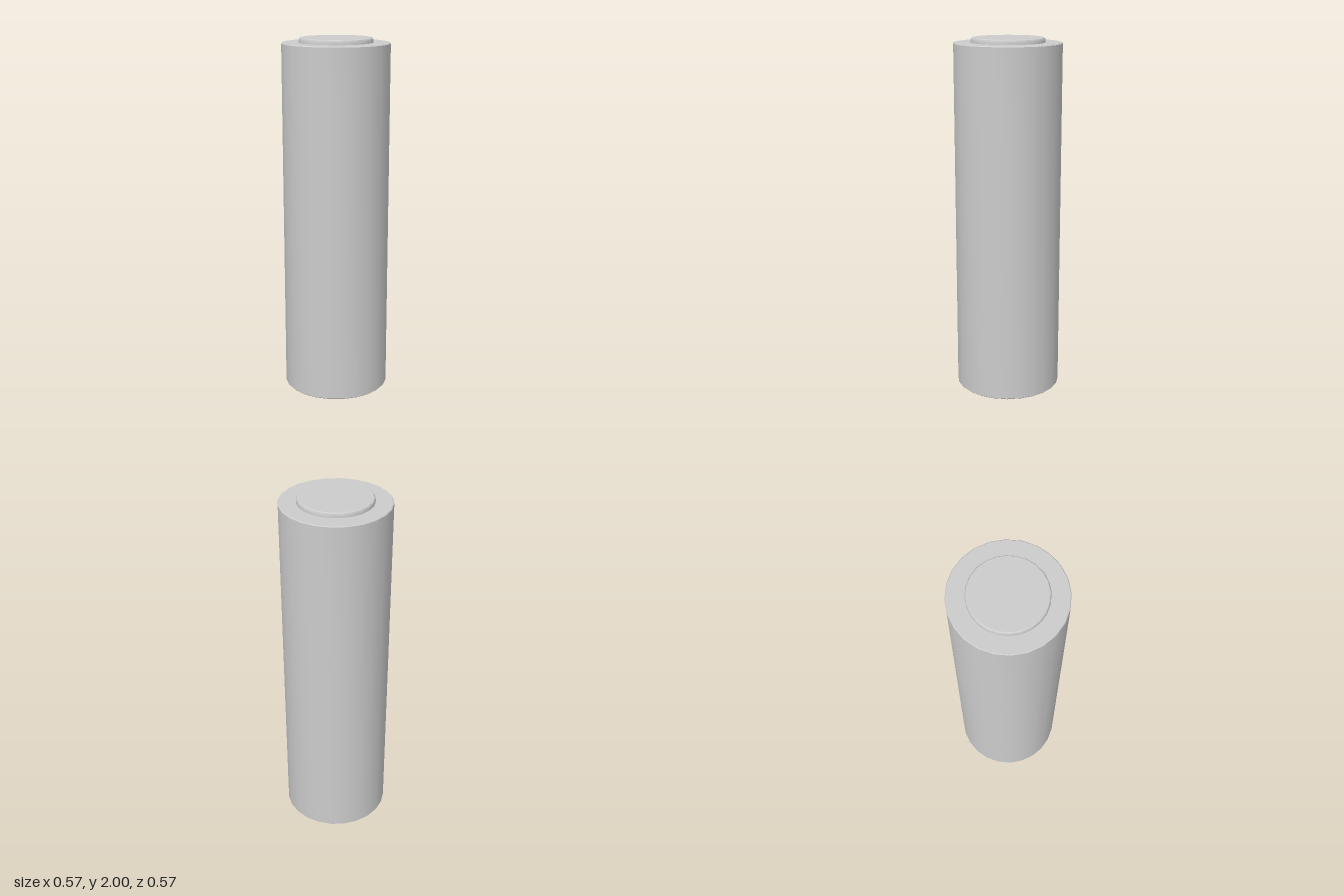
import * as THREE from 'three';
import { toCreasedNormals } from 'three/addons/utils/BufferGeometryUtils.js';

const SIDES = 24;
const material = new THREE.MeshStandardMaterial({ color: 0xcccccc });

// Closed cylinder from y0 to y1 with small chamfers on both rims
function chamferedCylinder(name, radius, y0, y1, chamfer) {
  const inner = radius - chamfer;
  const profile = [
    [0, y0], [inner, y0], [radius, y0 + chamfer],
    [radius, y1 - chamfer], [inner, y1], [0, y1],
  ].map(([r, y]) => new THREE.Vector2(r, y));
  const geometry = toCreasedNormals(new THREE.LatheGeometry(profile, SIDES), 0.5);
  const mesh = new THREE.Mesh(geometry, material);
  mesh.name = name;
  return mesh;
}

// Raised disc whose rim is rounded in two steps towards its outer face
function endDisc(name, baseY, faceY) {
  const d = Math.sign(faceY - baseY);
  const points = [
    [0, baseY], [0.193, baseY], [0.193, faceY - d * 0.009],
    [0.19, faceY - d * 0.003], [0.185, faceY], [0, faceY],
  ].map(([r, y]) => new THREE.Vector2(r, y));
  if (d < 0) points.reverse();
  const geometry = toCreasedNormals(new THREE.LatheGeometry(points, SIDES), 0.5);
  const mesh = new THREE.Mesh(geometry, material);
  mesh.name = name;
  return mesh;
}

export function createModel() {
  const model = new THREE.Group();
  model.name = 'cylindricalCell';
  model.add(
    chamferedCylinder('casing', 0.283, 0.095, 1.975, 0.004),
    endDisc('topDisc', 1.97, 2),
    endDisc('bottomDisc', 0.1, 0.073),
    chamferedCylinder('terminal', 0.095, 0, 0.08, 0.004),
  );
  return model;
}
